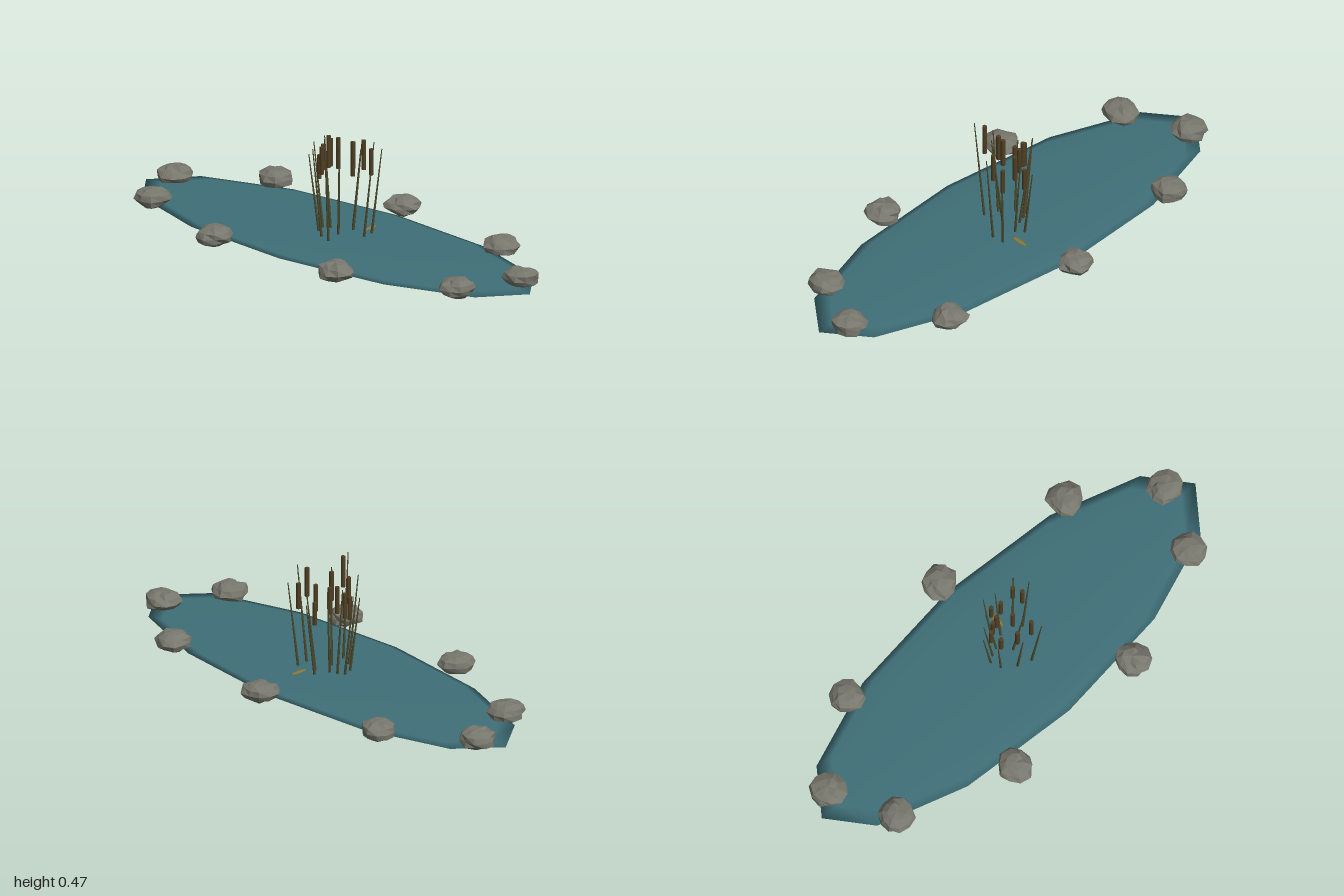
import * as THREE from 'three';

const material = (name, color, extra = {}) => {
  const m = new THREE.MeshStandardMaterial({ color, ...extra });
  m.name = name;
  return m;
};

// small repeatable noise in 0..1
const noise = (a, b, c) => {
  const s = Math.sin(a * 12.99 + b * 78.23 + c * 37.72) * 43758.55;
  return s - Math.floor(s);
};

// squashed, jittered sphere with a flat underside
function rockGeometry(seed) {
  const w = 10, h = 6;
  const g = new THREE.SphereGeometry(1, w, h);
  const p = g.attributes.position;
  for (let j = 0; j <= h; j++) {
    for (let i = 0; i <= w; i++) {
      const k = j * (w + 1) + i;
      const pole = j === 0 || j === h;
      const r = pole ? 0.95 : 0.86 + 0.26 * noise(i % w, j, seed);
      const y = Math.max(0.01, 0.046 + p.getY(k) * 0.041 * r);
      p.setXYZ(k, p.getX(k) * 0.072 * r, y, p.getZ(k) * 0.072 * r);
    }
  }
  g.computeVertexNormals();
  return g;
}

export function createModel() {
  const model = new THREE.Group();
  const water = material('pond teal', 0x3f6f78);
  const stone = material('stone grey', 0x77776d, { flatShading: true });
  const stemGreen = material('stem olive', 0x4c4a2c);
  const headBrown = material('cattail brown', 0x513f24);
  const gold = material('leaf gold', 0x8a7838, { side: THREE.DoubleSide });

  const add = (parent, name, geometry, mat) => {
    const mesh = new THREE.Mesh(geometry, mat);
    mesh.name = name;
    parent.add(mesh);
    return mesh;
  };

  // shallow lens of water
  const pond = add(model, 'pond', new THREE.SphereGeometry(1, 12, 8), water);
  pond.scale.set(0.34, 0.017, 1);
  pond.position.set(-0.012, 0.017, 0);

  // ring of rocks: x, z
  const rocks = new THREE.Group();
  rocks.name = 'rocks';
  model.add(rocks);
  [
    [0.05, -0.91], [-0.21, -0.79], [0.28, -0.59], [-0.38, -0.315], [0.37, -0.005],
    [-0.375, 0.315], [0.285, 0.585], [-0.2, 0.79], [0.05, 0.9],
  ].forEach(([x, z], i) => {
    const rock = add(rocks, 'rock', rockGeometry(i + 1), stone);
    rock.position.set(x, 0, z);
    rock.rotation.y = i * 1.3;
  });

  // reeds: foot x, foot z, tip x, tip z, top height
  const reeds = new THREE.Group();
  reeds.name = 'reeds';
  model.add(reeds);
  const up = new THREE.Vector3(0, 1, 0);
  [
    [-0.043, -0.07, -0.064, -0.105, 0.345],
    [-0.003, -0.085, -0.007, -0.13, 0.375],
    [0.013, -0.06, 0.022, -0.1, 0.4],
    [0.024, -0.03, 0.06, -0.055, 0.39],
    [0.08, -0.005, 0.125, -0.005, 0.335],
    [0.053, 0.02, 0.095, 0.03, 0.395],
    [-0.083, -0.02, -0.125, -0.03, 0.4],
    [-0.104, 0.034, -0.145, 0.05, 0.465],
    [-0.023, 0.012, -0.054, 0.045, 0.43],
    [0.021, 0.105, 0.03, 0.15, 0.43],
    [0.07, 0.1, 0.098, 0.13, 0.38],
  ].forEach(([x, z, tx, tz, top]) => {
    const foot = new THREE.Vector3(x, 0.02, z);
    const lean = new THREE.Vector3(tx, top, tz).sub(foot);
    const length = lean.length();
    const stem = add(reeds, 'stem', new THREE.CylinderGeometry(0.002, 0.0055, length, 6), stemGreen);
    stem.quaternion.setFromUnitVectors(up, lean.clone().normalize());
    stem.position.copy(foot).addScaledVector(lean, 0.5);

    // seed head stands upright over the foot
    const headLength = top * 0.28;
    const head = add(reeds, 'seedHead', new THREE.CylinderGeometry(0.009, 0.009, headLength, 8), headBrown);
    head.position.set(x, top - headLength / 2, z);
  });

  // thin floating leaf
  const leaf = add(model, 'floatingLeaf', new THREE.SphereGeometry(1, 10, 6), gold);
  leaf.scale.set(0.042, 0.003, 0.011);
  leaf.position.set(0.112, 0.033, 0.052);

  return model;
}
